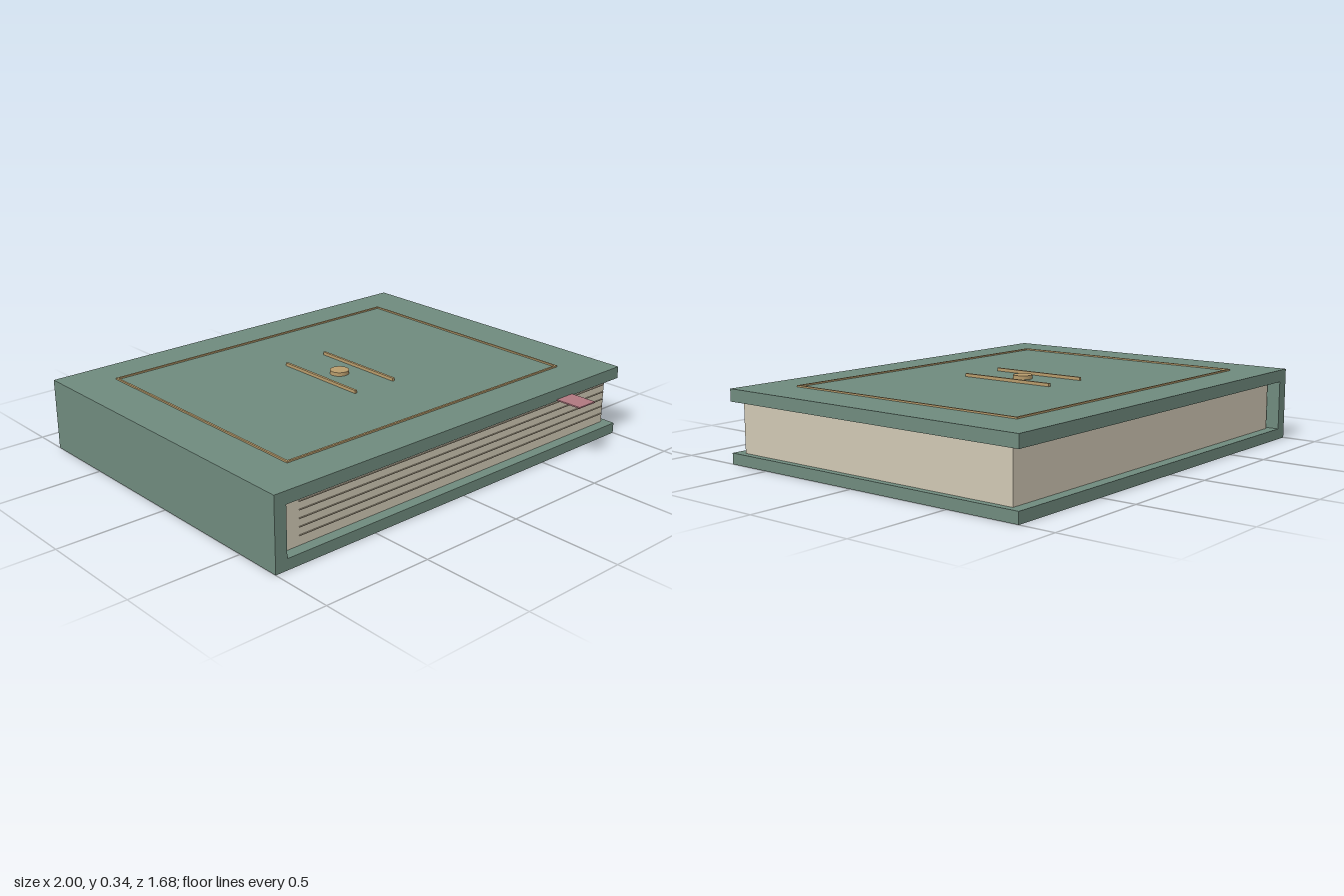
import * as THREE from 'three';

export function createModel() {
  const book = new THREE.Group();
  book.name = 'book';
  const mat = (color) => new THREE.MeshStandardMaterial({ color });
  const green = mat(0x6f8a7d), cream = mat(0xd0c8b4), line = mat(0xa89c86);
  const gold = mat(0xb89c6c), rose = mat(0xb07880);

  // Box given by its limits on each axis
  const box = (name, material, [x0, x1], [y0, y1], [z0, z1]) => {
    const mesh = new THREE.Mesh(new THREE.BoxGeometry(x1 - x0, y1 - y0, z1 - z0), material);
    mesh.position.set((x0 + x1) / 2, (y0 + y1) / 2, (z0 + z1) / 2);
    mesh.name = name;
    book.add(mesh);
    return mesh;
  };

  // Covers and spine
  const depth = [-0.84, 0.715], top = 0.326, midZ = -0.064;
  box('backCover', green, [-1, 1], [0, 0.049], depth);
  box('frontCover', green, [-1, 1], [0.271, top], depth);
  box('spine', green, [-1, -0.944], [0.049, 0.271], depth);

  // Page block with thin lines along its front edge
  box('pages', cream, [-0.92, 0.97], [0.049, 0.265], [-0.79, 0.665]);
  for (let i = 0; i < 5; i++) {
    const y = 0.092 + i * 0.0355;
    box('pageLine', line, [-0.845, 0.965], [y - 0.0015, y + 0.0015], [0.66, 0.67]);
  }

  // Ribbon bookmark
  box('ribbon', rose, [0.572, 0.676], [0.272, 0.278], [0.5, 0.84]);

  // Raised rectangular border on the front cover
  const rect = (target, w, h) => {
    target.moveTo(-w, -h);
    target.lineTo(w, -h);
    target.lineTo(w, h);
    target.lineTo(-w, h);
    target.closePath();
    return target;
  };
  const outline = rect(new THREE.Shape(), 0.79, 0.598);
  outline.holes.push(rect(new THREE.Path(), 0.781, 0.589));
  const border = new THREE.Mesh(
    new THREE.ExtrudeGeometry(outline, { depth: 0.008, bevelEnabled: false }), gold);
  border.rotation.x = -Math.PI / 2;
  border.position.set(0, top - 0.001, midZ - 0.002);
  border.name = 'coverBorder';
  book.add(border);

  // Two bars and a round stud in the middle
  for (const side of [-1, 1]) {
    const x = side * 0.112;
    box('coverBar', gold, [x - 0.006, x + 0.006], [top - 0.001, 0.34], [-0.3, 0.168]);
  }
  const stud = new THREE.Mesh(new THREE.CylinderGeometry(0.043, 0.043, 0.018, 32), gold);
  stud.position.set(0, top + 0.008, midZ - 0.002);
  stud.name = 'coverStud';
  book.add(stud);

  return book;
}
